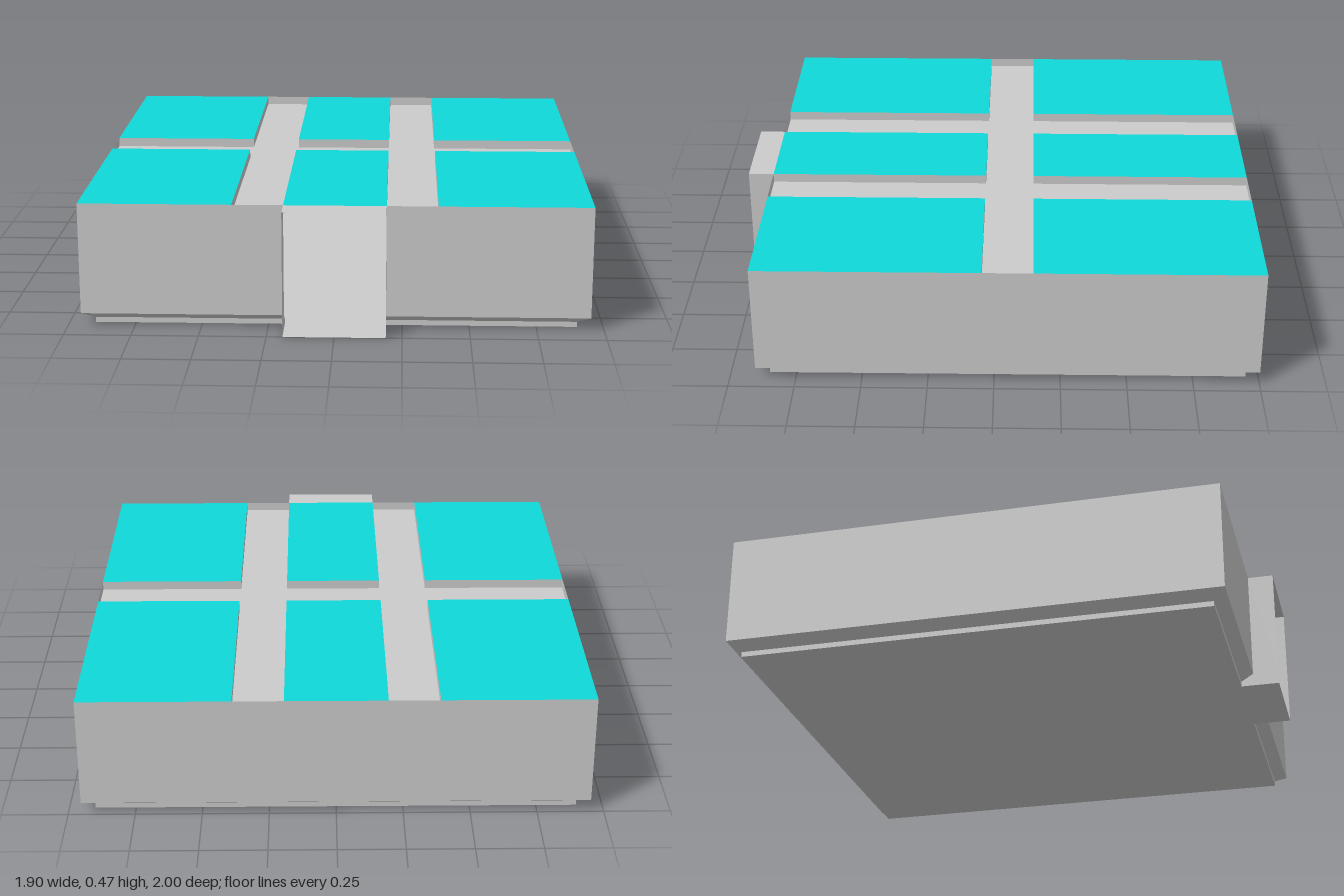
import * as THREE from 'three';

const W = 0.95, BACK = -1, FRONT = 0.9, TAB = 0.19, TIP = 1;
const TOP = 0.475, GROOVE = 0.44;
// Wall profile from the rim down: [inset, height]
const PROFILE = [[0, TOP], [0, 0.05], [0.0475, 0.02], [0.0475, 0]];

// Turns four-cornered panels (counter-clockwise from outside) into one flat-shaded sheet
function sheet(name, quads, color = 0xcccccc) {
  const pos = [];
  for (const [a, b, c, d] of quads) pos.push(...a, ...b, ...c, ...a, ...c, ...d);
  const geo = new THREE.BufferGeometry();
  geo.setAttribute('position', new THREE.Float32BufferAttribute(pos, 3));
  geo.computeVertexNormals();
  const mesh = new THREE.Mesh(geo, new THREE.MeshStandardMaterial({ color, side: THREE.DoubleSide }));
  mesh.name = name;
  return mesh;
}

// Horizontal panel facing up or down
function level(x0, x1, z0, z1, y, up = true) {
  const q = [[x0, y, z1], [x1, y, z1], [x1, y, z0], [x0, y, z0]];
  return up ? q : q.reverse();
}

export function createModel() {
  const group = new THREE.Group();

  // Hollow outer walls with an opening in the front, and the sides of the spout
  const walls = [], spout = [];
  for (let k = 0; k < PROFILE.length - 1; k++) {
    const [i0, y0] = PROFILE[k], [i1, y1] = PROFILE[k + 1];
    const xa = W - i0, xb = W - i1;
    const ba = BACK + i0, bb = BACK + i1, fa = FRONT - i0, fb = FRONT - i1;
    walls.push([[xa, y0, ba], [xb, y1, bb], [-xb, y1, bb], [-xa, y0, ba]]);
    for (const s of [1, -1]) {
      const side = [[s * xa, y0, fa], [s * xb, y1, fb], [s * xb, y1, bb], [s * xa, y0, ba]];
      const front = [[s * TAB, y0, fa], [s * TAB, y1, fb], [s * xb, y1, fb], [s * xa, y0, fa]];
      const cheek = [[s * TAB, y0, TIP], [s * TAB, y1, TIP], [s * TAB, y1, fb], [s * TAB, y0, fa]];
      if (s < 0) [side, front, cheek].forEach(q => q.reverse());
      walls.push(side, front);
      spout.push(cheek);
    }
  }
  group.add(sheet('outerWalls', walls));

  // Spout roof and floor, open at the front
  const inset = PROFILE[3][0];
  spout.push(level(-TAB, TAB, FRONT, TIP, TOP));
  spout.push(level(-TAB, TAB, FRONT - inset, TIP, 0, false));
  group.add(sheet('frontSpout', spout));
  group.add(sheet('bottom', [level(-W + inset, W - inset, BACK + inset, FRONT - inset, 0, false)]));

  // Roof: six raised panels divided by sunken grooves
  const xs = [-W, -0.38, -TAB, TAB, 0.38, W], zs = [BACK, -0.145, 0.045, FRONT];
  const panels = [], grooves = [], steps = [];
  for (let i = 0; i < 5; i++) {
    for (let j = 0; j < 3; j++) {
      const x0 = xs[i], x1 = xs[i + 1], z0 = zs[j], z1 = zs[j + 1];
      if (i % 2 || j % 2) {
        grooves.push(level(x0, x1, z0, z1, GROOVE));
        continue;
      }
      panels.push(level(x0, x1, z0, z1, TOP));
      // Short steps down from the panel into the neighbouring grooves
      if (i > 0) steps.push([[x0, GROOVE, z0], [x0, GROOVE, z1], [x0, TOP, z1], [x0, TOP, z0]]);
      if (i < 4) steps.push([[x1, GROOVE, z1], [x1, GROOVE, z0], [x1, TOP, z0], [x1, TOP, z1]]);
      if (j > 0) steps.push([[x1, GROOVE, z0], [x0, GROOVE, z0], [x0, TOP, z0], [x1, TOP, z0]]);
      if (j < 2) steps.push([[x0, GROOVE, z1], [x1, GROOVE, z1], [x1, TOP, z1], [x0, TOP, z1]]);
    }
  }
  group.add(sheet('roofPanels', panels, 0x10d8d8));
  group.add(sheet('grooveFloors', grooves));
  group.add(sheet('grooveSides', steps));
  return group;
}
